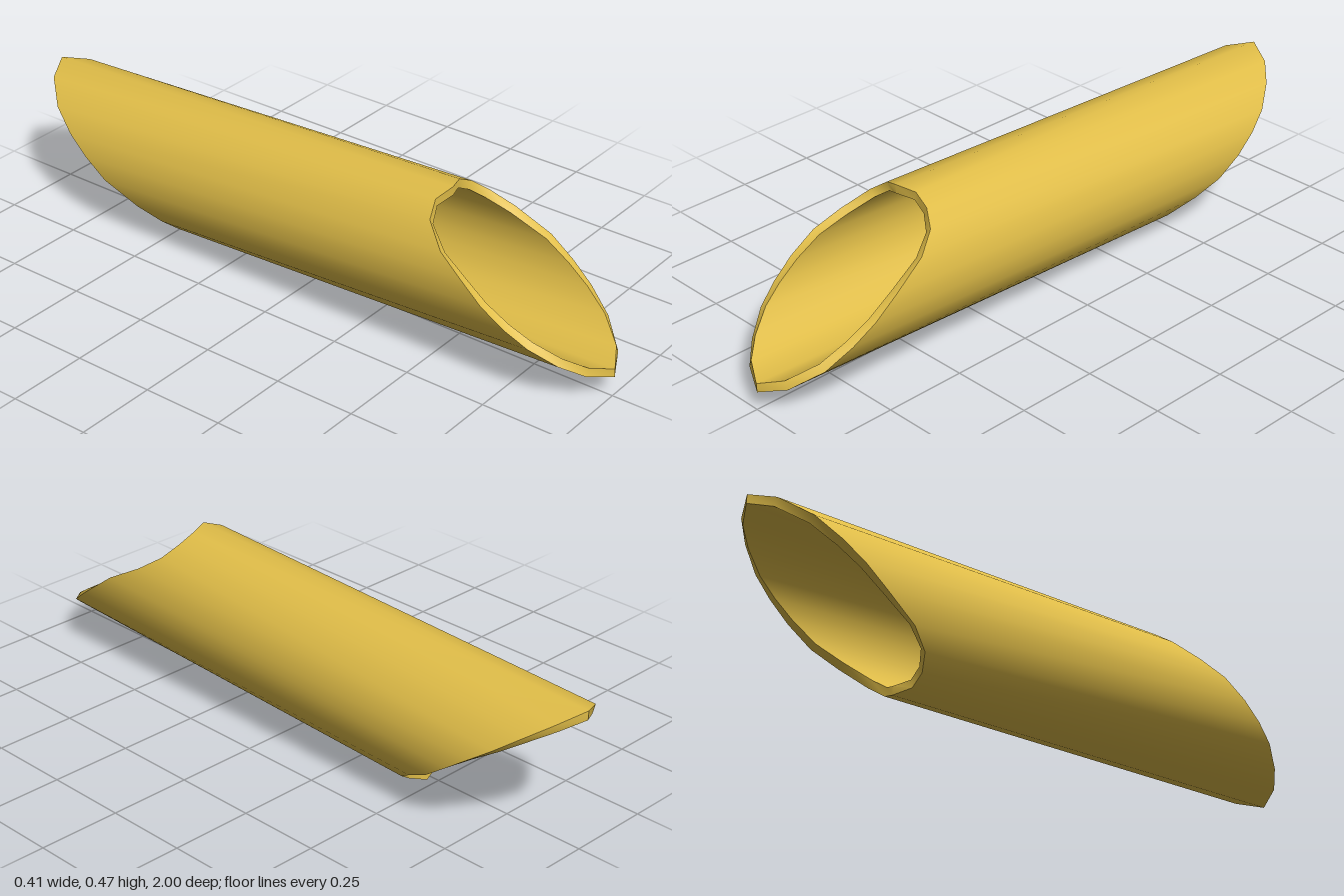
import * as THREE from 'three';
import { toCreasedNormals } from 'three/addons/utils/BufferGeometryUtils.js';

// Slanted front rim, clockwise from the top: x, y, z
const RIM = [
  [-0.02, 0.475, 0.475], [0.04, 0.467, 0.455], [0.09, 0.442, 0.462], [0.135, 0.405, 0.49],
  [0.17, 0.36, 0.555], [0.19, 0.30, 0.665], [0.19, 0.245, 0.74], [0.178, 0.195, 0.81],
  [0.15, 0.14, 0.885], [0.085, 0.088, 0.96], [0.005, 0.062, 1], [-0.075, 0.088, 0.96],
  [-0.13, 0.125, 0.905], [-0.175, 0.175, 0.835], [-0.195, 0.22, 0.77], [-0.203, 0.27, 0.70],
  [-0.195, 0.325, 0.625], [-0.172, 0.368, 0.545], [-0.125, 0.42, 0.475], [-0.075, 0.455, 0.457],
];
const N = RIM.length;
const HEIGHT = 0.475;
const BORE = 0.87; // inner size relative to outer

// Shrink a rim towards its centre, keeping its depth
const shrink = (rim, cx, cy) =>
  rim.map(([x, y, z]) => [cx + (x - cx) * BORE, cy + (y - cy) * BORE, z]);

// The back rim is the front one mirrored through the middle of the tube
const toBack = (rim) => rim.map((_, i) => {
  const [x, y, z] = rim[(i + N / 2) % N];
  return [-x, HEIGHT - y, -z];
});

export function createModel() {
  const group = new THREE.Group();
  group.name = 'pastaTube';

  const front = RIM.map(([x, y, z]) => [x, y - 0.0025, z]);
  const frontInner = shrink(front, -0.005, 0.266);

  // Outer wall, back rim, bore and front rim as one closed loop of rings
  const rings = [front, toBack(front), toBack(frontInner), frontInner];
  const index = [];
  for (let r = 0; r < 4; r++) {
    for (let i = 0; i < N; i++) {
      const j = (i + 1) % N;
      const a = r * N, b = ((r + 1) % 4) * N;
      index.push(a + i, a + j, b + i, a + j, b + j, b + i);
    }
  }
  const geometry = new THREE.BufferGeometry();
  geometry.setAttribute('position', new THREE.Float32BufferAttribute(rings.flat(2), 3));
  geometry.setIndex(index);

  const tube = new THREE.Mesh(
    toCreasedNormals(geometry, 0.7),
    new THREE.MeshStandardMaterial({ color: 0xe0bd48 })
  );
  tube.name = 'tubeWall';
  group.add(tube);
  return group;
}
